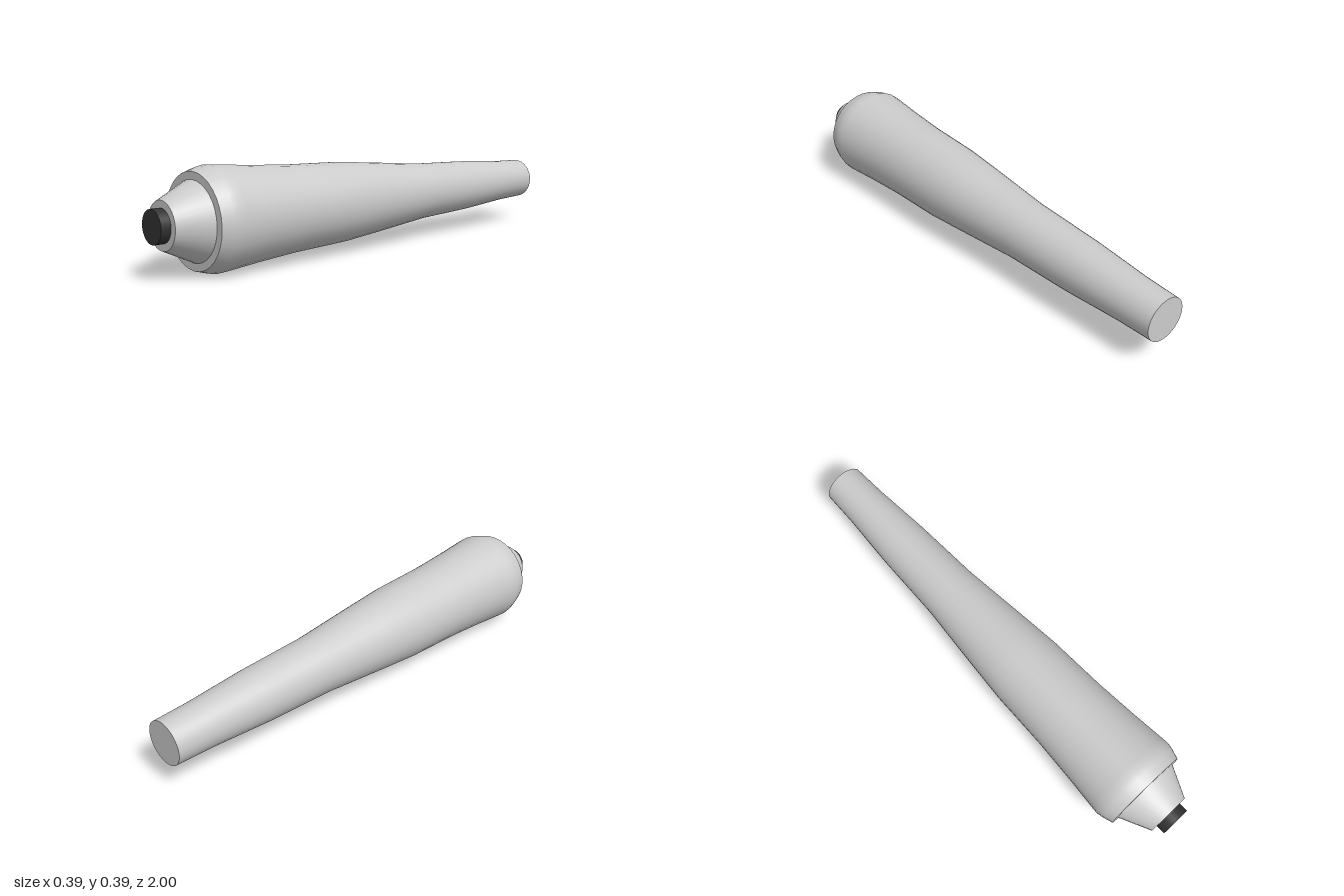
import * as THREE from 'three';

const AXIS_Y = 0.1965;
const SIDES = 32;
const grey = new THREE.MeshStandardMaterial({ color: 0xcccccc });
const dark = new THREE.MeshStandardMaterial({ color: 0x333335 });

// Revolves [radius, z] points (back to front) around the z axis.
function turned(name, points, material = grey) {
  const profile = points.map(([r, z]) => new THREE.Vector2(r, z));
  const geometry = new THREE.LatheGeometry(profile, SIDES);
  geometry.rotateX(Math.PI / 2);
  const mesh = new THREE.Mesh(geometry, material);
  mesh.name = name;
  mesh.position.y = AXIS_Y;
  return mesh;
}

// Flat round face, facing the front or the back.
function disc(name, radius, z, facing = 1, material = grey) {
  const mesh = new THREE.Mesh(new THREE.CircleGeometry(radius, SIDES, Math.PI / 2), material);
  mesh.name = name;
  mesh.position.set(0, AXIS_Y, z);
  if (facing < 0) mesh.rotation.y = Math.PI;
  return mesh;
}

export function createModel() {
  const model = new THREE.Group();
  model.name = 'taperedHandle';

  // Long swelling grip with a rounded shoulder at the front
  model.add(turned('gripBody', [
    [0.087, -1], [0.092, -0.85], [0.109, -0.6], [0.12, -0.3], [0.147, 0],
    [0.161, 0.17], [0.169, 0.42], [0.181, 0.6], [0.193, 0.74],
    [0.195, 0.77], [0.19, 0.795], [0.177, 0.837],
  ]));
  model.add(disc('backCap', 0.087, -1, -1));
  model.add(disc('shoulderFace', 0.177, 0.837));

  // Conical collar
  model.add(turned('collar', [[0.148, 0.837], [0.0885, 0.962]]));
  model.add(disc('collarFace', 0.0885, 0.962));

  // Dark plug at the tip
  model.add(turned('tipPlug', [[0.062, 0.962], [0.062, 1]], dark));
  model.add(disc('tipFace', 0.062, 1, 1, dark));

  return model;
}
